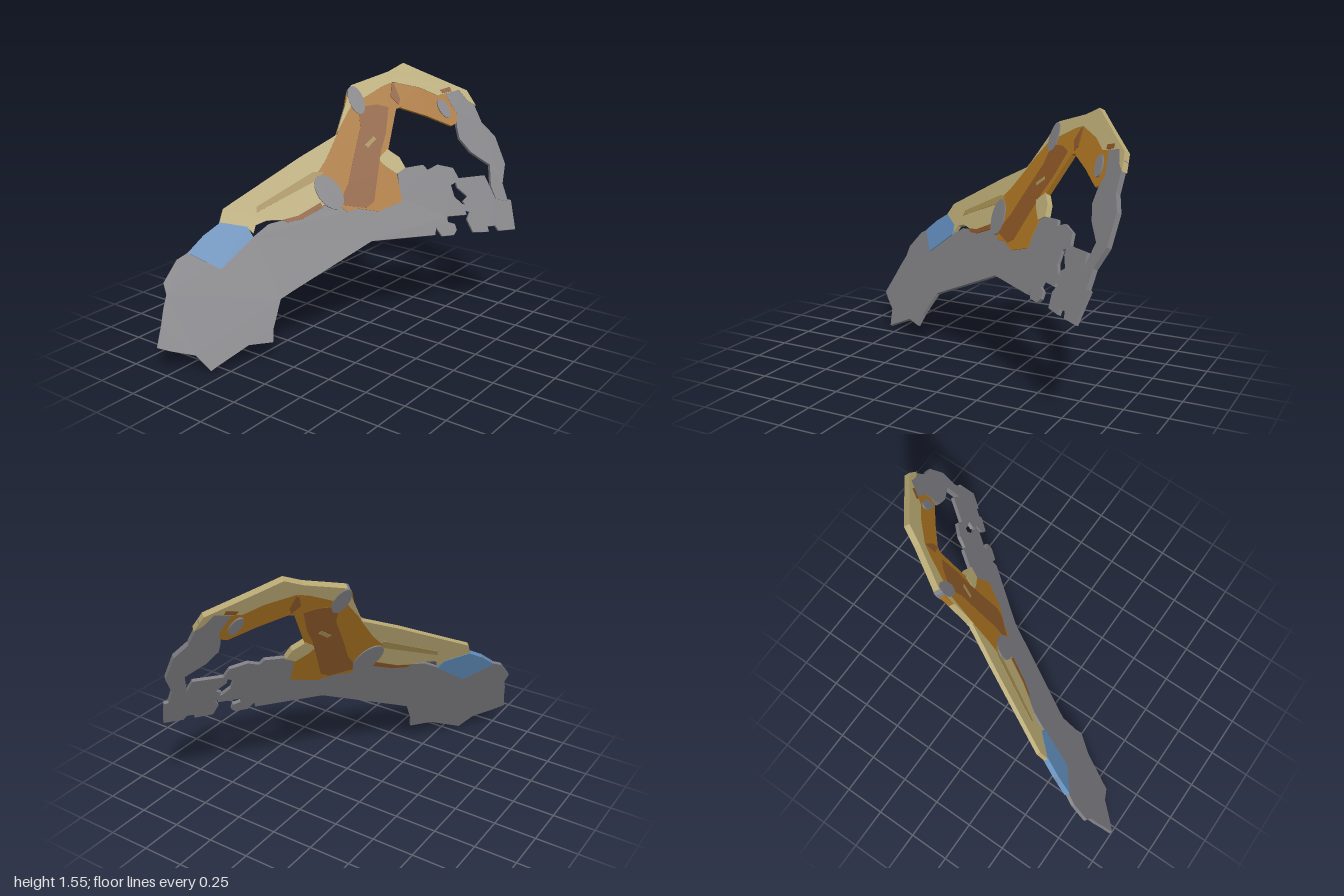
import * as THREE from 'three';

// The whole piece is a thin sheet lying in the plane z = A x + B y + C.
const A = 0.784, B = -0.615, C = 0.309;
const NORMAL = new THREE.Vector3(-A, -B, 1).normalize();
const THICK = 0.02, STEP = 0.005;

const mat = (name, color) => {
  const m = new THREE.MeshStandardMaterial({ color });
  m.name = name;
  return m;
};

// Extrude a flat outline and lay it into the slanted plane.
// Higher layers are a little thicker, so they show on both faces.
function plate(name, shape, material, layer = 0) {
  const t = THICK + layer * STEP;
  const g = new THREE.ExtrudeGeometry(shape, { depth: t, bevelEnabled: false, curveSegments: 10 });
  const p = g.attributes.position;
  for (let i = 0; i < p.count; i++) {
    const x = p.getX(i), y = p.getY(i), w = p.getZ(i) - t / 2;
    p.setXYZ(i, x + NORMAL.x * w, y + NORMAL.y * w, A * x + B * y + C + NORMAL.z * w);
  }
  g.computeVertexNormals();
  const mesh = new THREE.Mesh(g, material);
  mesh.name = name;
  return mesh;
}

const outline = (pts) => new THREE.Shape(pts.map(([x, y]) => new THREE.Vector2(x, y)));
const oval = (x, y, rx, ry, turn = 0) => {
  const s = new THREE.Shape();
  s.absellipse(x, y, rx, ry, 0, Math.PI * 2, false, turn);
  return s;
};

export function createModel() {
  const grey = mat('stone grey', 0x7c7c80);
  const blue = mat('blue', 0x5f8bb9);
  const tan = mat('pale tan', 0xb7a872);
  const ochre = mat('deep tan', 0xa08a4e);
  const orange = mat('orange', 0xa67020);
  const brown = mat('brown', 0x885526);
  const group = new THREE.Group();
  const add = (...args) => group.add(plate(...args));

  // Curved grey base
  add('base', outline([
    [-1, .15], [-.94, .26], [-.9, .34], [-.86, .41], [-.85, .47], [-.75, .58], [-.69, .61],
    [-.59, .69], [-.49, .745], [-.38, .715], [-.375, .66], [-.28, .72], [-.2, .735], [0, .79],
    [.1, .8], [.22, .78], [.385, .8], [.43, .94], [.47, .96], [.57, .97], [.58, .94], [.64, .965],
    [.71, .94], [.715, .87], [.66, .845], [.65, .78], [.67, .74], [.67, .675], [.57, .675],
    [.56, .645], [.59, .63], [.585, .595], [.56, .57], [.5, .57], [.49, .62], [.47, .58],
    [.155, .58], [-.31, .36], [-.38, .325], [-.47, .18], [-.5, .11], [-.61, .11], [-.79, .02],
    [-.82, .003], [-.855, .09], [-.91, .11], [-.95, .125],
  ]), grey);

  // Loose block and the thin drooping strip at the far end
  add('endBlock', outline([
    [.695, .88], [.85, .885], [.85, .75], [.925, .735], [.877, .57], [.79, .57], [.785, .6],
    [.745, .6], [.74, .57], [.66, .575], [.66, .65], [.695, .695], [.68, .75], [.715, .775],
    [.685, .83],
  ]), grey);
  add('blockLink', outline([[.64, .7], [.7, .69], [.7, .73], [.64, .74]]), grey);
  add('droopingStrip', outline([
    [.845, 1.34], [.85, 1.375], [.93, 1.38], [.965, 1.33], [.96, 1.18], [.995, 1.1], [.98, .94],
    [.92, .83], [.905, .73], [.85, .745], [.855, .82], [.9, .94], [.835, 1.02], [.81, 1.1],
    [.825, 1.17], [.855, 1.24],
  ]), grey, 2);

  // Blue patch
  add('bluePatch', outline([
    [-.69, .61], [-.59, .69], [-.49, .75], [-.38, .715], [-.375, .66], [-.58, .51],
  ]), blue, 2);

  // Long sloping tan band
  add('slopingBand', outline([
    [-.5, .74], [-.45, .82], [0, 1.06], [.225, 1.17], [.2, .85], [0, .79], [-.08, .76],
    [-.2, .735], [-.28, .74], [-.34, .72], [-.365, .68], [-.385, .715],
  ]), tan, 1);
  add('bandStreak', outline([
    [-.31, .785], [-.3, .815], [.03, .975], [.08, .97], [.03, .93],
  ]), ochre, 2);
  add('bandFoot', outline([
    [-.21, .735], [-.13, .75], [0, .81], [0, .78], [-.12, .73], [-.19, .72],
  ]), brown, 2);

  // Leaning orange arm
  add('leaningArm', outline([
    [.225, 1.17], [.3, 1.28], [.36, 1.39], [.43, 1.4], [.58, 1.44], [.6, 1.3], [.565, 1.29],
    [.43, 1.06], [.455, .98], [.42, .93], [.385, .78], [.25, .735], [.16, .76], [.1, .75],
    [.07, .8], [.02, .9], [.03, .95], [.11, 1.03],
  ]), orange, 2);
  add('armEdge', outline([
    [.21, 1.16], [.225, 1.175], [.4, 1.435], [.43, 1.43], [.37, 1.34],
  ]), tan, 3);
  add('armStreak', outline([
    [.08, .79], [.17, .9], [.24, 1.02], [.35, 1.2], [.385, 1.31], [.48, 1.32], [.53, 1.3],
    [.46, 1.16], [.4, 1.07], [.33, .94], [.25, .79], [.2, .76],
  ]), brown, 3);
  add('armDash', outline([[.33, 1.1], [.39, 1.145], [.4, 1.13], [.34, 1.085]]), ochre, 4);
  add('armKnob', outline([
    [.43, 1.07], [.47, 1.02], [.475, .96], [.42, .93], [.38, .98], [.365, 1.02],
  ]), tan, 3);

  // Bent top: tan rim over an orange underside
  add('topUnderside', outline([
    [.58, 1.44], [.73, 1.42], [.86, 1.38], [.86, 1.2], [.8, 1.175], [.7, 1.24], [.58, 1.3],
  ]), orange, 1);
  add('topRim', outline([
    [.4, 1.435], [.61, 1.5], [.705, 1.545], [.79, 1.485], [.96, 1.37], [.97, 1.28], [.94, 1.31],
    [.92, 1.375], [.85, 1.36], [.8, 1.35], [.73, 1.4], [.61, 1.44], [.55, 1.42], [.43, 1.36],
  ]), tan, 3);
  add('topSeam', outline([
    [.585, 1.31], [.565, 1.36], [.6, 1.43], [.61, 1.43], [.605, 1.34],
  ]), brown, 4);
  add('topPatch', outline([[.825, 1.38], [.88, 1.395], [.88, 1.37], [.83, 1.36]]), brown, 4);

  // Grey oval spots
  [['armFootSpot', .06, .86, .06, .095, 0], ['armTopSpot', .39, 1.35, .036, .08, -.15],
    ['topEndSpot', .8, 1.275, .026, .055, 0]].forEach(([name, ...e]) => add(name, oval(...e), grey, 5));

  return group;
}
